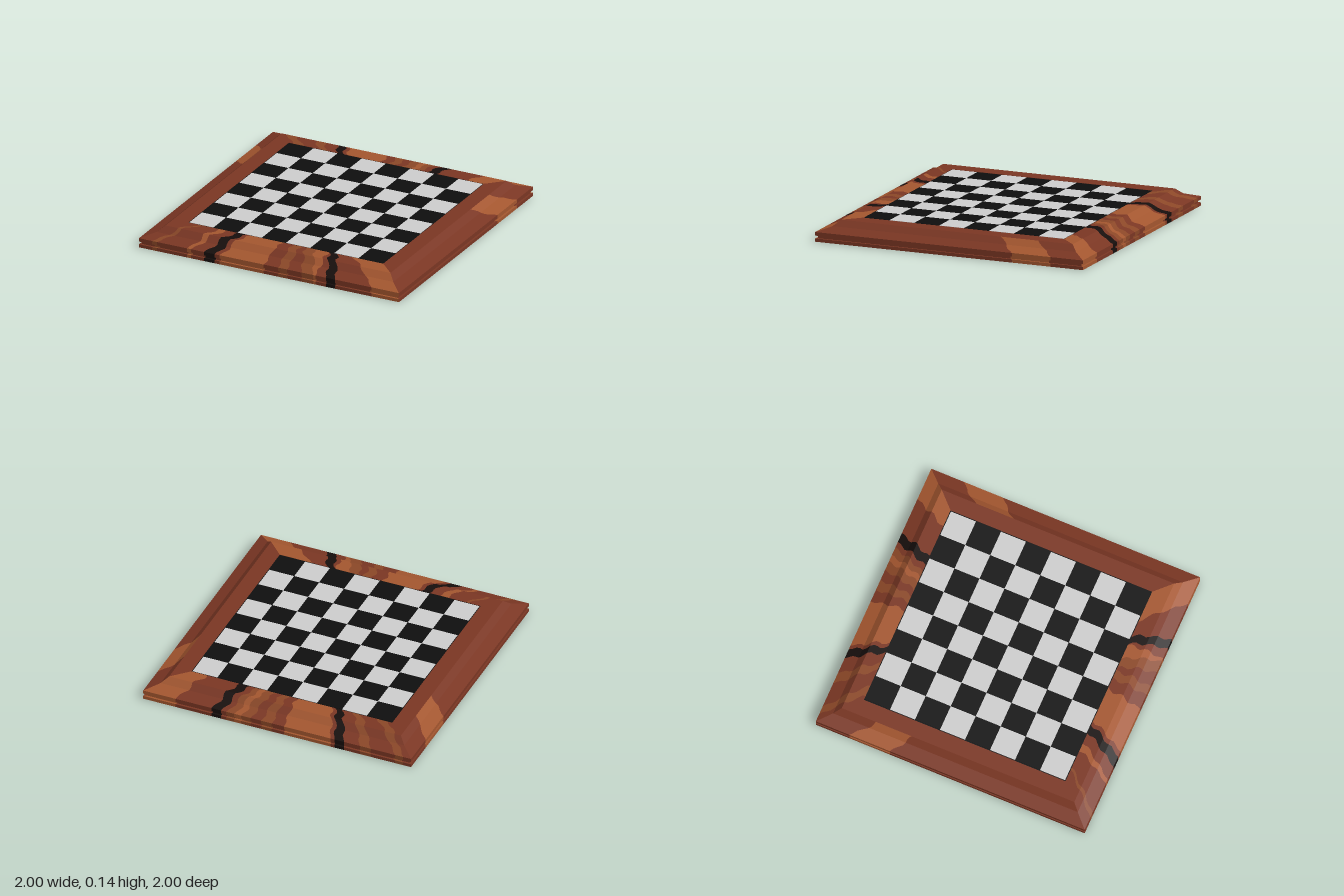
import * as THREE from 'three';
import { mergeGeometries } from 'three/addons/utils/BufferGeometryUtils.js';

const paint = (name, color) => {
  const m = new THREE.MeshStandardMaterial({ color });
  m.name = name;
  return m;
};

// frame profile from outer bottom edge to inner lip: [distance from centre, height]
const corners = [[1, 0.002], [1, 0.025], [0.985, 0.025], [0.985, 0.045], [1, 0.045], [1, 0.07],
  [0.91, 0.1], [0.865, 0.14], [0.75, 0.14], [0.75, 0.13]];
const profile = [corners[0]];
for (let i = 1; i < corners.length; i++) {
  const [a, b] = [corners[i - 1], corners[i]];
  const n = Math.max(1, Math.ceil(Math.hypot(b[0] - a[0], b[1] - a[1]) / 0.025));
  for (let k = 1; k <= n; k++) {
    const t = k / n;
    profile.push([a[0] + (b[0] - a[0]) * t, a[1] + (b[1] - a[1]) * t]);
  }
}

// position along the rail of a grain boundary, cut off at the mitre
function edgeAt([outer, inner], d) {
  const s = (1 - d) / 0.25;
  const x = outer + (inner - outer) * s + 0.013 * Math.sin(s * 14 + outer * 5) * Math.min(1, s * 4);
  return THREE.MathUtils.clamp(x, -d, d);
}

export function createModel() {
  const model = new THREE.Group();
  const mats = {
    red: paint('red brown wood', 0x7a3623),
    mid: paint('medium brown wood', 0x8a4727),
    amber: paint('amber wood', 0xa3562f),
    streak: paint('dark grain', 0x160e0c),
    black: paint('black square', 0x0e0e0e),
    white: paint('light square', 0xcccccc),
  };
  const add = (parent, name, geo, mat) => {
    const mesh = new THREE.Mesh(geo, mat);
    mesh.name = name;
    parent.add(mesh);
    return mesh;
  };

  // one mitred rail facing +z; bands are [outer start, inner start, wood]
  function rail(name, angle, bands, plainTop) {
    const points = {};
    bands.forEach((band, i) => {
      const next = bands[i + 1] || [5, 5];
      for (let k = 1; k < profile.length; k++) {
        const [[d0, y0], [d1, y1]] = [profile[k - 1], profile[k]];
        const [l0, l1] = [edgeAt(band, d0), edgeAt(band, d1)];
        const r0 = Math.max(l0, edgeAt(next, d0));
        const r1 = Math.max(l1, edgeAt(next, d1));
        if (r0 - l0 < 1e-4 && r1 - l1 < 1e-4) continue;
        const wood = plainTop && d1 < 0.86 ? 'red' : band[2];
        (points[wood] ||= []).push(l0, y0, d0, r0, y0, d0, r1, y1, d1, l0, y0, d0, r1, y1, d1, l1, y1, d1);
      }
    });
    const group = new THREE.Group();
    group.name = name;
    group.rotation.y = angle;
    for (const wood in points) {
      const geo = new THREE.BufferGeometry();
      geo.setAttribute('position', new THREE.Float32BufferAttribute(points[wood], 3));
      geo.computeVertexNormals();
      add(group, name + ' ' + wood, geo, mats[wood]);
    }
    model.add(group);
  }

  rail('frontRail', 0, [
    [-5, -5, 'red'], [-0.9, -0.66, 'mid'], [-0.86, -0.64, 'red'], [-0.63, -0.5, 'amber'], [-0.6, -0.44, 'red'],
    [-0.5, -0.36, 'streak'], [-0.42, -0.3, 'red'], [-0.38, -0.27, 'amber'], [-0.04, -0.02, 'red'],
    [0.07, 0.06, 'mid'], [0.14, 0.12, 'red'], [0.25, 0.15, 'mid'], [0.34, 0.22, 'amber'], [0.36, 0.33, 'red'],
    [0.44, 0.34, 'streak'], [0.51, 0.4, 'red'], [0.79, 0.52, 'amber']]);
  rail('backRail', Math.PI, [
    [-5, -5, 'amber'], [-0.76, -0.62, 'red'], [-0.49, -0.38, 'streak'], [-0.42, -0.31, 'red'],
    [-0.38, -0.26, 'mid'], [-0.32, -0.22, 'amber'], [-0.27, -0.18, 'mid'], [-0.2, -0.12, 'red'],
    [-0.12, -0.07, 'mid'], [-0.04, -0.02, 'red'], [0.05, 0.04, 'amber'], [0.4, 0.3, 'red'],
    [0.43, 0.33, 'streak'], [0.5, 0.38, 'red'], [0.62, 0.46, 'mid'], [0.7, 0.52, 'red'], [0.88, 0.64, 'mid'],
    [0.94, 0.72, 'red']]);
  rail('leftRail', Math.PI / 2, [
    [-5, -5, 'red'], [0.47, 0.22, 'amber'], [0.76, 0.5, 'red']], true);
  rail('rightRail', -Math.PI / 2, [
    [-5, -5, 'red'], [-0.75, -0.48, 'amber'], [-0.45, -0.24, 'red']], true);

  // underside panel
  const base = new THREE.PlaneGeometry(2, 2).rotateX(Math.PI / 2).translate(0, 0.002, 0);
  add(model, 'underside', base, mats.red);

  // wavy grain patch on the underside, long in z
  const patch = (x, z, halfWidth, halfLength, drift, y) => {
    const right = [], left = [];
    for (let i = 0; i <= 24; i++) {
      const t = i / 12 - 1;
      const w = halfWidth * Math.sqrt(Math.max(0, 1 - t ** 4));
      const cx = x + drift * t + halfWidth * 0.3 * Math.sin(t * 9 + x * 7);
      const edge = w * (1 + 0.25 * Math.sin(t * 17 + z * 5));
      right.push(new THREE.Vector2(Math.min(0.995, cx + edge), z + t * halfLength));
      left.unshift(new THREE.Vector2(Math.max(-0.995, cx - w), z + t * halfLength));
    }
    return new THREE.ShapeGeometry(new THREE.Shape([...right, ...left])).rotateX(Math.PI / 2).translate(0, y, 0);
  };
  const light = [[0.2, -0.45, 0.17, 0.5, 0.05], [-0.28, -0.55, 0.09, 0.42, -0.03], [0.85, -0.1, 0.1, 0.55, 0.02],
    [0.68, -0.62, 0.06, 0.3, 0.02], [-0.03, 0.6, 0.12, 0.38, -0.06], [-0.55, -0.1, 0.06, 0.3, 0.02],
    [0.3, 0.5, 0.05, 0.35, 0.03], [-0.75, -0.72, 0.06, 0.25, 0.02]];
  add(model, 'undersideLightGrain', mergeGeometries(light.map((p) => patch(...p, 0.001))), mats.mid);
  const dark = [[0.47, -0.44, 0.027, 0.55, -0.02], [0.48, 0.76, 0.025, 0.24, 0.01],
    [-0.46, -0.41, 0.022, 0.58, 0.01], [-0.45, 0.61, 0.025, 0.38, -0.02]];
  add(model, 'undersideDarkGrain', mergeGeometries(dark.map((p) => patch(...p, 0))), mats.streak);

  // playing field with a thin black border
  const bed = new THREE.BoxGeometry(1.5, 0.01, 1.5).translate(0, 0.133, 0);
  add(model, 'boardBed', bed, mats.black);
  const cell = 1.488 / 8;
  const squares = { black: [], white: [] };
  for (let r = 0; r < 8; r++) {
    for (let c = 0; c < 8; c++) {
      const plate = new THREE.BoxGeometry(cell, 0.004, cell);
      plate.translate((c - 3.5) * cell, 0.138, (r - 3.5) * cell);
      squares[(r + c) % 2 ? 'white' : 'black'].push(plate);
    }
  }
  add(model, 'blackSquares', mergeGeometries(squares.black), mats.black);
  add(model, 'lightSquares', mergeGeometries(squares.white), mats.white);
  return model;
}
